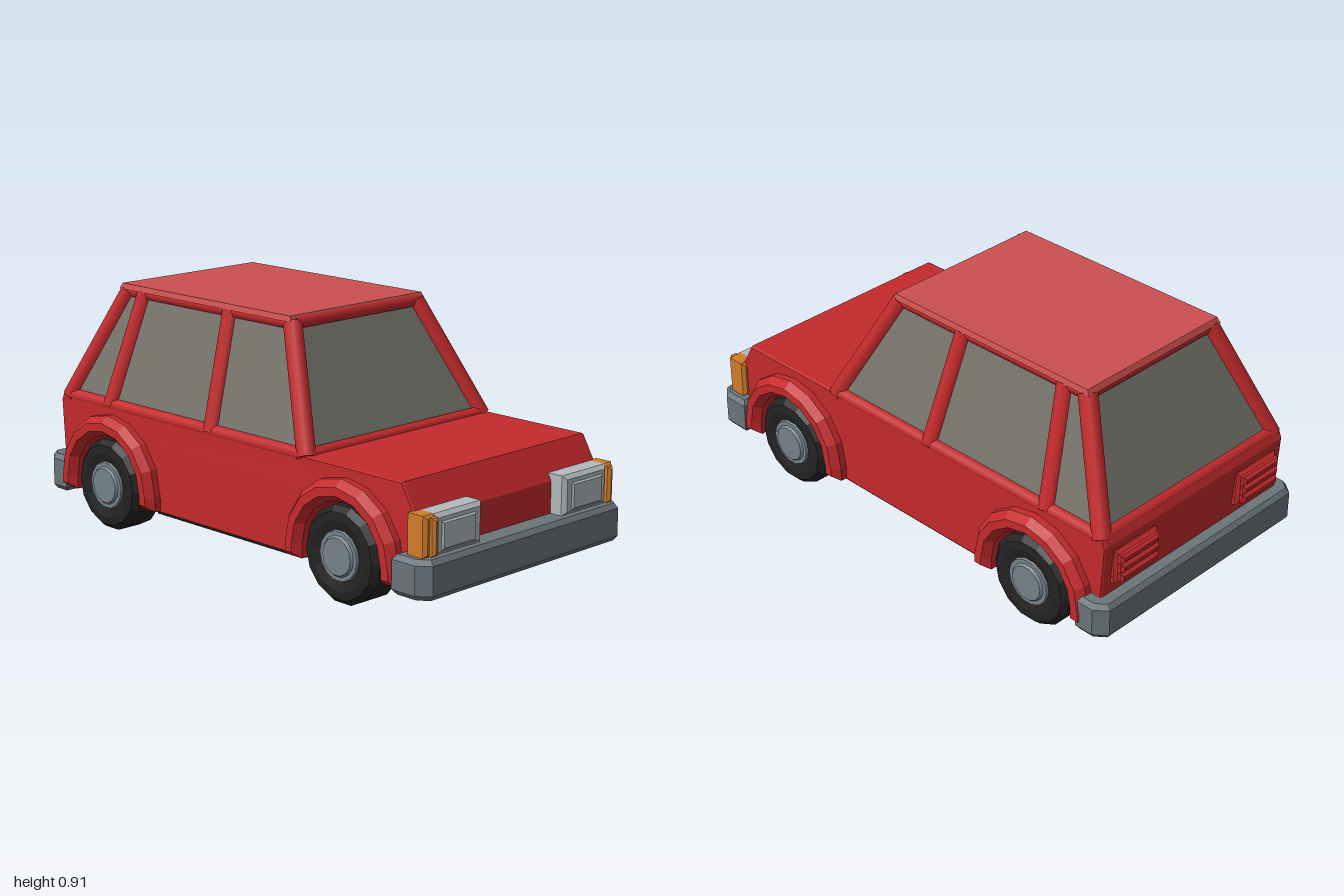
import * as THREE from 'three';

const mat = (name, color, side = THREE.FrontSide) => {
  const m = new THREE.MeshStandardMaterial({ color, side });
  m.name = name;
  return m;
};

export function createModel() {
  const car = new THREE.Group();
  car.name = 'car';
  const red = mat('body red', 0xc42a2c), roofRed = mat('roof red', 0xcc5050);
  const glass = mat('glass', 0x74726a), rubber = mat('tyre black', 0x222222);
  const under = mat('underside black', 0x191919), steel = mat('bumper grey', 0x6a747a);
  const hubGrey = mat('hub grey', 0x74828a), lamp = mat('headlight silver', 0xb4b9bc);
  const amber = mat('indicator amber', 0xd07c2c);

  const add = (name, geo, material, parent = car) => {
    const m = new THREE.Mesh(geo, material);
    m.name = name;
    parent.add(m);
    return m;
  };

  // Box from min/max limits
  const box = (x0, x1, y0, y1, z0, z1) =>
    new THREE.BoxGeometry(x1 - x0, y1 - y0, z1 - z0)
      .translate((x0 + x1) / 2, (y0 + y1) / 2, (z0 + z1) / 2);

  // Tapered box: [halfWidth, y, zFront, zRear] at bottom and top
  const taper = (lo, hi) => {
    const g = new THREE.BoxGeometry(2, 2, 2), p = g.attributes.position;
    for (let i = 0; i < p.count; i++) {
      const [w, y, zf, zr] = p.getY(i) > 0 ? hi : lo;
      p.setXYZ(i, p.getX(i) * w, y, p.getZ(i) > 0 ? zf : zr);
    }
    g.computeVertexNormals();
    return g;
  };

  // Box with bevelled front edges, facing dir along z
  const bevelBox = (x0, x1, y0, y1, z0, z1, dir, b) => {
    const s = new THREE.Shape([[x0 + b, y0 + b], [x1 - b, y0 + b], [x1 - b, y1 - b], [x0 + b, y1 - b]]
      .map(([x, y]) => new THREE.Vector2(x * dir, y)));
    const g = new THREE.ExtrudeGeometry(s, {
      depth: z1 - z0 - 2 * b, bevelSize: b, bevelThickness: b, bevelSegments: 1,
    }).translate(0, 0, z0 + b);
    return dir < 0 ? g.rotateY(Math.PI) : g;
  };

  // Six-sided bar between two points
  const bar = (name, a, b, r = 0.03) => {
    const A = new THREE.Vector3(...a), B = new THREE.Vector3(...b);
    const m = add(name, new THREE.CylinderGeometry(r, r, A.distanceTo(B), 8), red);
    m.position.copy(A).add(B).multiplyScalar(0.5);
    m.quaternion.setFromUnitVectors(new THREE.Vector3(0, 1, 0), B.sub(A).normalize());
  };

  const axles = [0.59, -0.645], wheelY = 0.176;

  // Lower body: side outline with wheel openings
  const outline = [[-0.93, 0.12], [-0.95, 0.45], [-0.94, 0.475], [0.84, 0.472],
    [0.905, 0.36], [0.905, 0.12]].map(p => new THREE.Vector2(...p));
  for (const z of axles) {
    for (let i = 0; i <= 10; i++) {
      const a = Math.PI * i / 10;
      if (i === 0) outline.push(new THREE.Vector2(z + 0.205, 0.12));
      outline.push(new THREE.Vector2(z + 0.205 * Math.cos(a), wheelY + 0.205 * Math.sin(a)));
      if (i === 10) outline.push(new THREE.Vector2(z - 0.205, 0.12));
    }
  }
  add('lowerBody', new THREE.ExtrudeGeometry(new THREE.Shape(outline),
    { depth: 0.92, bevelSize: 0.004, bevelThickness: 0.008, bevelSegments: 1 })
    .rotateY(-Math.PI / 2).translate(0.46, 0, 0), red);

  // Underside
  add('wheelWellCore', box(-0.345, 0.345, 0.105, 0.43, -0.86, 0.83), under);
  add('floor', box(-0.455, 0.455, 0.105, 0.125, -0.41, 0.36), under);
  add('chassisPlate', box(-0.265, 0.265, 0.075, 0.105, -0.86, 0.83), under);
  add('chassisSkid', box(-0.25, 0.25, 0.066, 0.076, -0.84, 0.81), under);

  // Cabin glass and roof
  add('windows', taper([0.452, 0.47, 0.378, -0.927], [0.315, 0.895, 0.163, -0.718]), glass);
  add('roof', taper([0.338, 0.892, 0.185, -0.748], [0.332, 0.913, 0.175, -0.738]), roofRed);

  // Cabin frame
  const low = 0.485, high = 0.885, wl = 0.447, wh = 0.31;
  const ends = [['front', 0.375, 0.165], ['rear', -0.92, -0.72]];
  for (const [n, zl, zh] of ends) {
    bar(n + 'WindowSill', [-wl, low - 0.012, zl], [wl, low - 0.012, zl], 0.025);
    bar(n + 'RoofRail', [-wh, high, zh], [wh, high, zh], 0.026);
  }
  for (const s of [1, -1]) {
    const n = s > 0 ? 'left' : 'right';
    for (const [p, zl, zh] of [...ends, ['middle', -0.11, -0.15], ['rearDoor', -0.675, -0.625]])
      bar(`${n}${p}Pillar`, [s * wl, low - 0.02, zl], [s * wh, high, zh], 0.034);
    bar(n + 'WindowSill', [s * wl, low - 0.012, 0.375], [s * wl, low - 0.012, -0.92], 0.025);
    bar(n + 'RoofRail', [s * wh, high, 0.165], [s * wh, high, -0.72], 0.026);
  }

  // Wheels and arches
  const tyre = [[0.09, 0.065], [0.125, 0.075], [0.155, 0.072], [0.175, 0.05],
    [0.175, -0.05], [0.155, -0.072], [0, -0.072]].map(p => new THREE.Vector2(...p)).reverse();
  const archShape = new THREE.Shape();
  for (const [r, flip] of [[0.243, false], [0.212, true]]) {
    const pts = [[r, -0.03]];
    for (let i = 0; i <= 8; i++) pts.push([r * Math.cos(Math.PI * i / 8), r * Math.sin(Math.PI * i / 8)]);
    pts.push([-r, -0.03]);
    if (flip) pts.reverse();
    pts.forEach(([x, y], i) => (i || flip ? archShape.lineTo(x, y) : archShape.moveTo(x, y)));
  }
  for (const s of [1, -1]) for (const z of axles) {
    const wheel = new THREE.Group();
    wheel.name = (s > 0 ? 'left' : 'right') + (z > 0 ? 'Front' : 'Rear') + 'Wheel';
    wheel.position.set(s * 0.435, wheelY, z);
    wheel.rotation.z = -s * Math.PI / 2;
    car.add(wheel);
    const t = new THREE.LatheGeometry(tyre, 14).toNonIndexed();
    t.computeVertexNormals();
    add('tyre', t, rubber, wheel);
    add('rim', new THREE.CylinderGeometry(0.088, 0.096, 0.02, 14), hubGrey, wheel).position.y = 0.064;
    add('hubCap', new THREE.CylinderGeometry(0.066, 0.074, 0.01, 14), hubGrey, wheel).position.y = 0.078;

    const arch = add('wheelArch', new THREE.ExtrudeGeometry(archShape,
      { depth: 0.05, bevelSize: 0.023, bevelThickness: 0.03, bevelSegments: 1 }), red);
    arch.rotation.y = s * Math.PI / 2;
    arch.position.set(s * 0.444, wheelY, z);
  }

  // Bumpers with angled corners
  for (const [n, d, back] of [['front', 1, 0.86], ['rear', -1, 0.89]]) {
    const plan = new THREE.Shape([[-0.505, back], [0.505, back], [0.505, 0.945], [0.475, 0.982],
      [-0.475, 0.982], [-0.505, 0.945]].map(p => new THREE.Vector2(...p)));
    add(n + 'Bumper', new THREE.ExtrudeGeometry(plan,
      { depth: 0.103, bevelSize: 0.014, bevelThickness: 0.018, bevelSegments: 1 })
      .rotateX(Math.PI / 2).translate(0, 0.227, 0).rotateY(d < 0 ? Math.PI : 0), steel);
  }

  // Lamps
  for (const s of [1, -1]) {
    const span = (a, b) => (s > 0 ? [a, b] : [-b, -a]);
    add('headlight', bevelBox(...span(0.212, 0.445), 0.243, 0.388, 0.88, 0.97, 1, 0.014), lamp);
    add('headlightLens', bevelBox(...span(0.25, 0.415), 0.262, 0.36, 0.95, 0.977, 1, 0.006), lamp);
    add('indicator', bevelBox(...span(0.435, 0.487), 0.245, 0.388, 0.875, 0.965, 1, 0.012), amber);
    add('indicatorFront', bevelBox(...span(0.44, 0.466), 0.25, 0.38, 0.93, 0.985, 1, 0.01), amber);
    add('tailLight', bevelBox(...span(0.212, 0.425), 0.288, 0.42, 0.92, 0.968, -1, 0.012), red);
    for (let i = 0; i < 3; i++)
      add('tailLightRib', bevelBox(...span(0.225, 0.415), 0.3 + i * 0.037, 0.334 + i * 0.037,
        0.95, 0.988, -1, 0.01), red);
  }
  return car;
}
